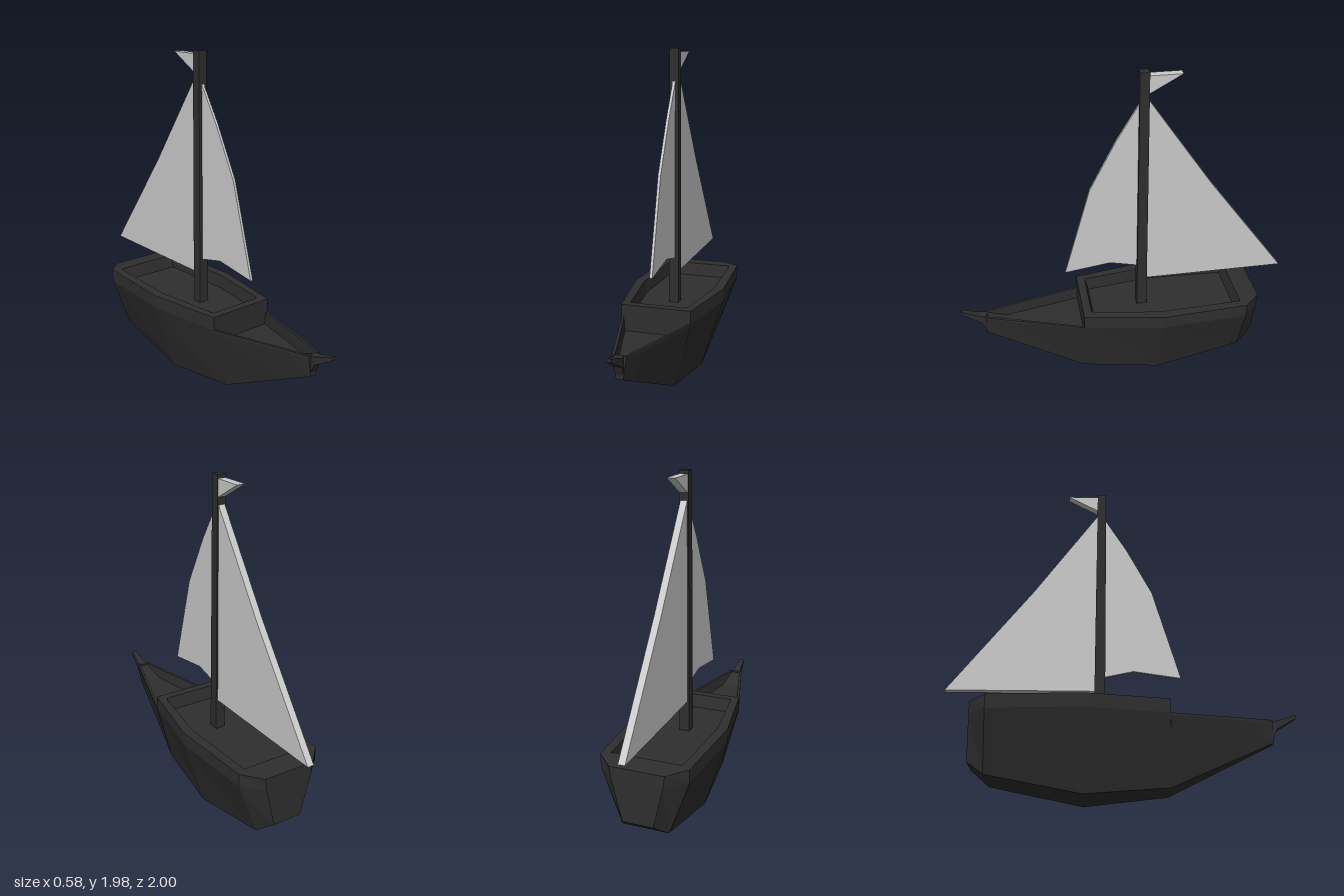
import * as THREE from 'three';

const dark = new THREE.MeshStandardMaterial({ color: 0x2e2e2e, flatShading: true });
const grey = new THREE.MeshStandardMaterial({ color: 0xcccccc, flatShading: true });

// Skin closed rings (counter-clockwise seen from the front, ordered back to front) and cap both ends
function loft(rings) {
  const n = rings[0].length, pos = rings.flat(2), idx = [];
  for (let i = 0; i < rings.length - 1; i++) {
    for (let k = 0; k < n; k++) {
      const a = i * n + k, b = i * n + (k + 1) % n;
      idx.push(a, b, b + n, a, b + n, a + n);
    }
  }
  const last = (rings.length - 1) * n;
  for (let k = 1; k < n - 1; k++) {
    idx.push(0, k + 1, k, last, last + k, last + k + 1);
  }
  const g = new THREE.BufferGeometry();
  g.setAttribute('position', new THREE.Float32BufferAttribute(pos, 3));
  g.setIndex(idx);
  const flat = g.toNonIndexed();
  flat.computeVertexNormals();
  return flat;
}

// Mirror a half section [x, y] into a full ring at z
function ring(z, half) {
  const right = half.map(([x, y]) => [x, y, z]);
  return [...right, ...right.map(([x, y]) => [-x, y, z]).reverse()];
}

// Flat cloth from a [z, y] outline, thickened along x
function cloth(points, thickness) {
  const shape = new THREE.Shape(points.map(([z, y]) => new THREE.Vector2(z, y)));
  const g = new THREE.ExtrudeGeometry(shape, { depth: thickness, bevelEnabled: false });
  g.translate(0, 0, -thickness / 2);
  g.rotateY(-Math.PI / 2);
  return g;
}

export function createModel() {
  const boat = new THREE.Group();
  boat.name = 'sailboat';
  const add = (name, geometry, material) => {
    const mesh = new THREE.Mesh(geometry, material);
    mesh.name = name;
    boat.add(mesh);
    return mesh;
  };

  // Hull stations: z, keel x/y, side x/y, rim x/y, rim inner x, floor x/y
  const stations = [
    [-0.83, 0.09, 0.19, 0.15, 0.44, 0.16, 0.51, 0.10, 0.10, 0.51],
    [-0.73, 0.14, 0.11, 0.26, 0.44, 0.26, 0.52, 0.21, 0.20, 0.52],
    [-0.70, 0.14, 0.105, 0.262, 0.44, 0.262, 0.52, 0.21, 0.20, 0.52],
    [-0.68, 0.141, 0.10, 0.263, 0.44, 0.263, 0.52, 0.21, 0.20, 0.44],
    [-0.20, 0.155, 0.005, 0.29, 0.44, 0.29, 0.52, 0.23, 0.22, 0.44],
    [0.20, 0.118, 0.044, 0.222, 0.44, 0.222, 0.52, 0.175, 0.165, 0.44],
    [0.22, 0.115, 0.046, 0.219, 0.44, 0.219, 0.52, 0.17, 0.16, 0.52],
    [0.27, 0.11, 0.05, 0.21, 0.44, 0.21, 0.52, 0.17, 0.16, 0.52],
    [0.27, 0.11, 0.05, 0.21, 0.43, 0.21, 0.44, 0.195, 0.19, 0.36],
    [0.73, 0.04, 0.268, 0.077, 0.44, 0.077, 0.456, 0.06, 0.055, 0.39],
    [0.86, 0.02, 0.33, 0.037, 0.44, 0.04, 0.46, 0.025, 0.025, 0.455],
  ];
  add('hull', loft(stations.map(([z, kx, ky, sx, sy, rx, ry, ix, fx, fy]) =>
    ring(z, [[kx, ky], [sx, sy], [rx, ry], [ix, ry], [fx, fy]]))), dark);

  // Stem and bowsprit: z, half width, bottom, top
  const spar = [[0.85, 0.022, 0.33, 0.46], [0.885, 0.025, 0.41, 0.46], [0.985, 0.014, 0.47, 0.495], [1, 0.012, 0.48, 0.5]];
  add('bowsprit', loft(spar.map(([z, w, lo, hi]) => ring(z, [[w, lo], [w, hi]]))), dark);

  // Square mast, slightly tapered
  const mast = new THREE.CylinderGeometry(0.027 * Math.SQRT2, 0.031 * Math.SQRT2, 1.56, 4);
  mast.rotateY(Math.PI / 4);
  add('mast', mast, dark).position.set(0, 1.2, -0.115);

  // Sails and pennant
  add('mainsail', cloth([[-0.12, 0.63], [-0.12, 1.83], [-0.14, 1.82], [-0.52, 1.27], [-1, 0.63], [-0.33, 0.63]], 0.04), grey);
  add('jib', cloth([[-0.1, 0.72], [0.08, 0.76], [0.355, 0.72], [0.195, 1.28], [0.04, 1.58], [-0.1, 1.81]], 0.016), grey);
  add('pennant', cloth([[-0.13, 1.96], [-0.325, 1.96], [-0.145, 1.86], [-0.13, 1.86]], 0.05), grey);

  return boat;
}
